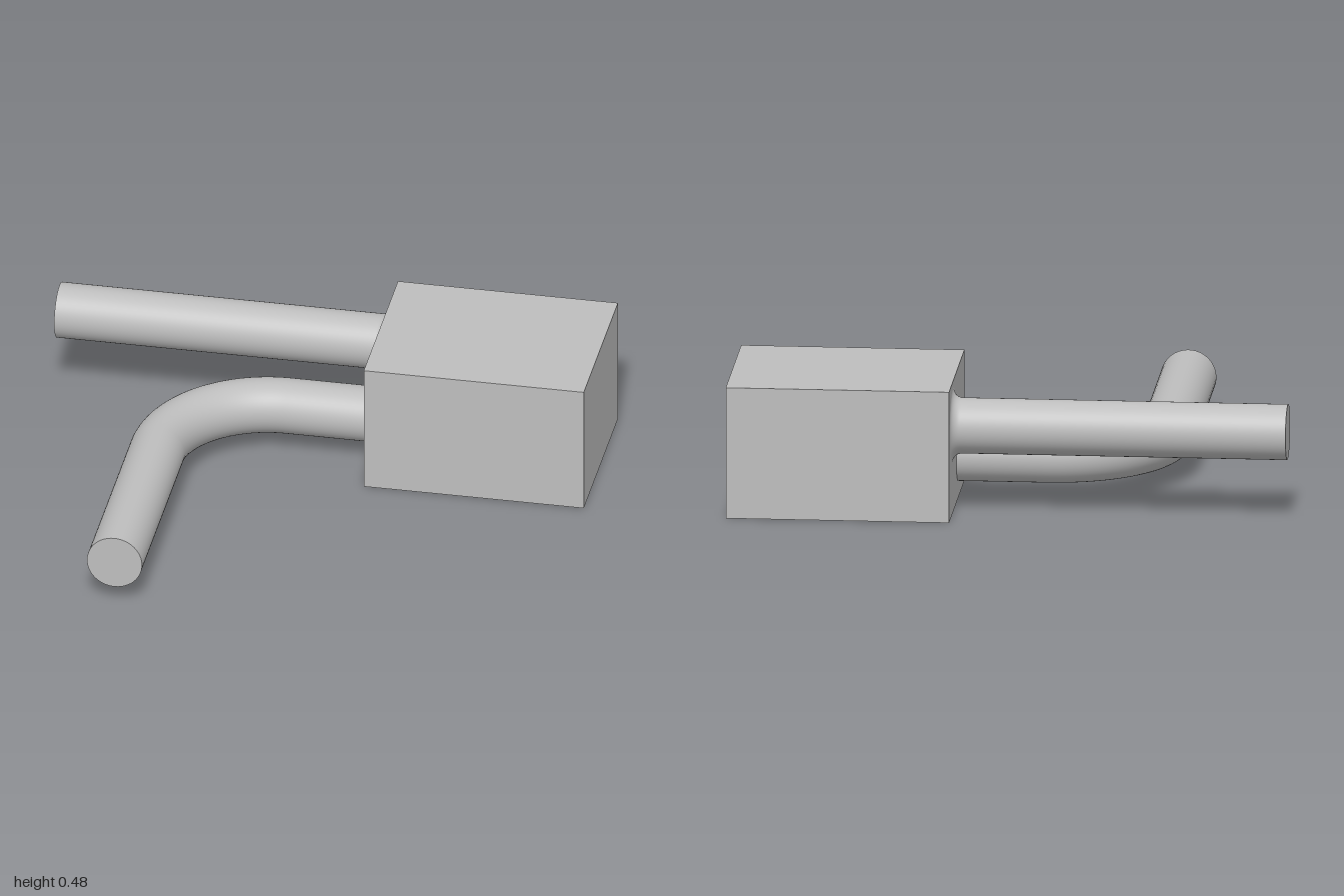
import * as THREE from 'three';

const R = 0.1; // rod radius
const SEG = 48;

export function createModel() {
  const group = new THREE.Group();
  const grey = new THREE.MeshStandardMaterial({ color: 0xbebebe });
  grey.name = 'grey';

  const add = (name, geometry, x, y, z, parent = group) => {
    const mesh = new THREE.Mesh(geometry, grey);
    mesh.name = name;
    mesh.position.set(x, y, z);
    parent.add(mesh);
    return mesh;
  };

  // Solid block
  add('block', new THREE.BoxGeometry(0.8, 0.48, 0.64), 0.6, 0.24, -0.48);

  // Straight rod, flaring into the block through a small fillet
  const straight = new THREE.Group();
  straight.name = 'straightRod';
  group.add(straight);
  const fillet = 0.035;
  const profile = [new THREE.Vector2(R, -1)];
  for (let i = 0; i <= 10; i++) {
    const a = (i / 10) * Math.PI / 2;
    profile.push(new THREE.Vector2(
      R + fillet * (1 - Math.cos(a)),
      0.2 - fillet * (1 - Math.sin(a))
    ));
  }
  add('straightShaft', new THREE.LatheGeometry(profile, SEG).rotateZ(-Math.PI / 2), 0, 0.32, -0.64, straight);
  add('straightEnd', new THREE.CircleGeometry(R, SEG).rotateY(-Math.PI / 2), -1, 0.32, -0.64, straight);

  // Bent rod: short run out of the block, quarter bend, long run to the front
  const bent = new THREE.Group();
  bent.name = 'bentRod';
  bent.position.y = 0.16;
  group.add(bent);
  const run = (length) => new THREE.CylinderGeometry(R, R, length, SEG, 1, true);
  add('shortRun', run(0.32).rotateZ(Math.PI / 2), 0.04, 0, -0.4, bent);
  add('bend', new THREE.TorusGeometry(0.4, R, SEG, 32, Math.PI / 2)
    .rotateX(-Math.PI / 2).rotateY(Math.PI / 2), -0.12, 0, 0, bent);
  add('longRun', run(0.8).rotateX(Math.PI / 2), -0.52, 0, 0.4, bent);
  add('bentEnd', new THREE.CircleGeometry(R, SEG), -0.52, 0, 0.8, bent);

  return group;
}
